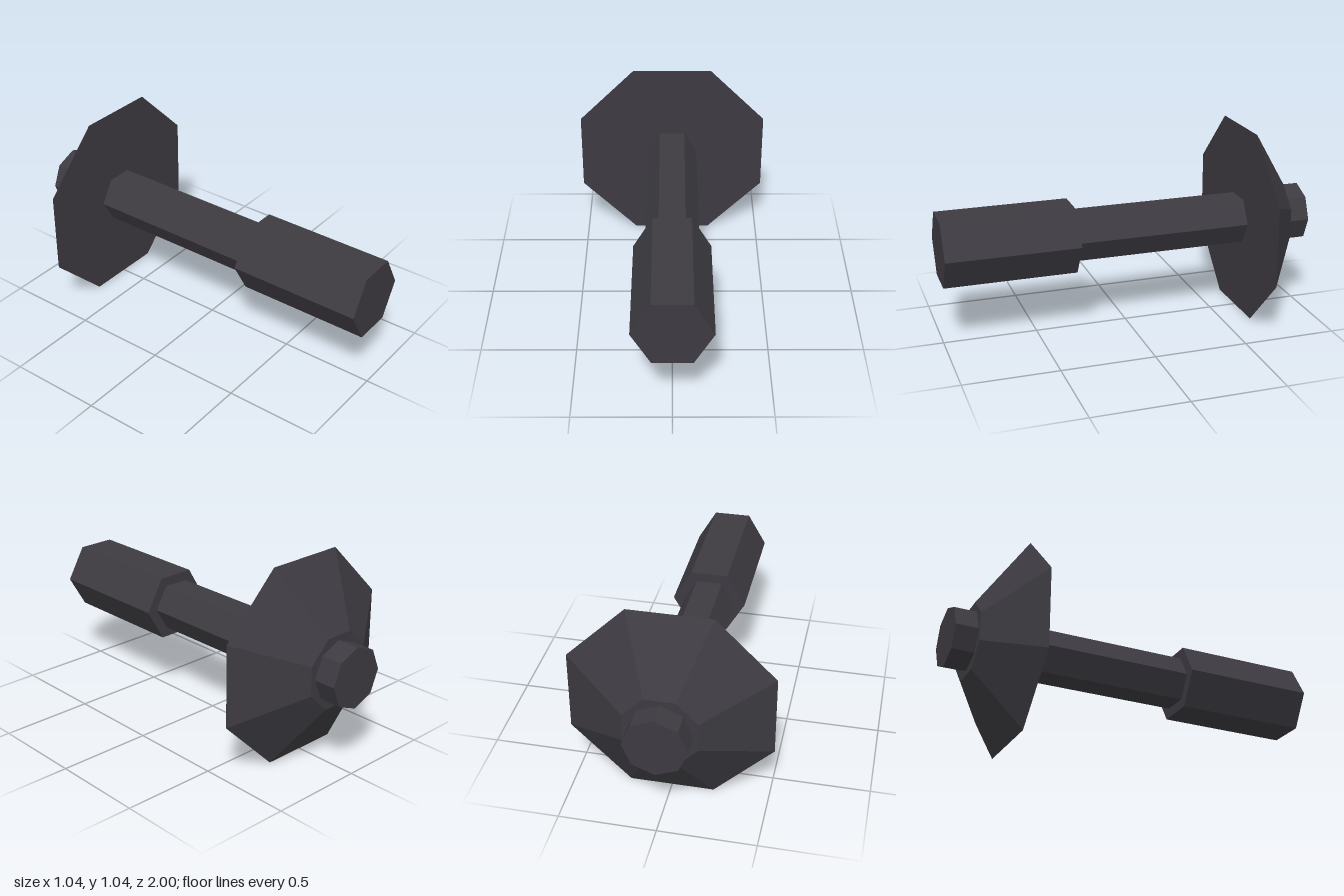
import * as THREE from 'three';

const AXIS_Y = 0.52;

export function createModel() {
  const model = new THREE.Group();
  const darkMetal = new THREE.MeshStandardMaterial({ color: 0x3d3b41, flatShading: true });
  darkMetal.name = 'dark metal';

  // Faceted prism or cone lying along z, from zBack to zFront
  function addPrism(name, sides, rFront, rBack, zFront, zBack, turn) {
    const geometry = new THREE.CylinderGeometry(rFront, rBack, zFront - zBack, sides, 1, false, turn);
    geometry.rotateX(Math.PI / 2);
    const mesh = new THREE.Mesh(geometry, darkMetal);
    mesh.name = name;
    mesh.position.set(0, AXIS_Y, (zFront + zBack) / 2);
    model.add(mesh);
  }

  // Hexagons point sideways; the guard has flat sides, the end cap points up
  addPrism('grip', 6, 0.2, 0.2, 1, 0.295, Math.PI / 2);
  addPrism('shaft', 6, 0.14, 0.14, 0.3, -0.66, Math.PI / 2);
  addPrism('guardCone', 8, 0.563, 0.202, -0.65, -0.882, Math.PI / 8);
  addPrism('endCap', 8, 0.161, 0.161, -0.87, -1, 0);

  return model;
}
